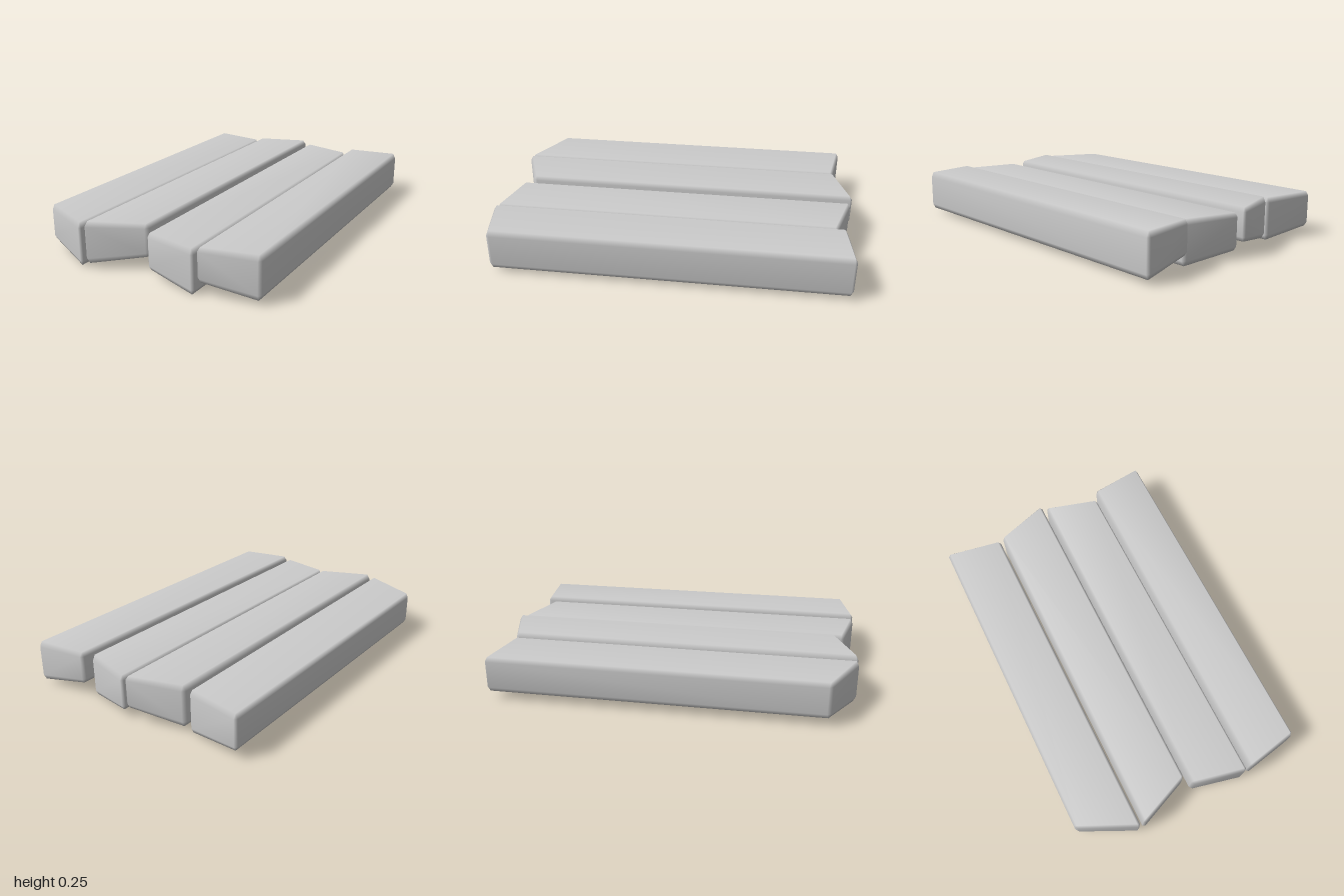
import * as THREE from 'three';
import { ConvexGeometry } from 'three/addons/geometries/ConvexGeometry.js';
import { mergeVertices } from 'three/addons/utils/BufferGeometryUtils.js';

const lerp = THREE.MathUtils.lerp;
const BEVEL = [0.015, 0.026, 0.015]; // bevel size along x, y, z

// Each pair holds the values at the plank's -x and +x sides.
const PLANKS = [
  { x: [-0.65, -0.33], top: 0.24, bottom: [0.047, 0.005], front: [0.85, 0.998], back: [-0.955, -0.902] },
  { x: [-0.31, -0.007], top: 0.253, bottom: [0.025, 0.08], front: [0.995, 0.87], back: [-0.908, -1.003] },
  { x: [0.02, 0.325], top: 0.234, bottom: [0.043, -0.002], front: [0.922, 0.987], back: [-0.99, -0.903] },
  { x: [0.343, 0.646], top: 0.25, bottom: [0.076, 0.022], front: [0.986, 0.925], back: [-0.95, -0.986] },
];

// Bevelled block with slanted underside and skew-cut ends
function plankGeometry({ x, top, bottom, front, back }) {
  const size = [x[1] - x[0], top - (bottom[0] + bottom[1]) / 2, 1.9];
  const points = [];
  for (let corner = 0; corner < 8; corner++) {
    // three points per corner, one lying on each adjoining face
    for (let face = 0; face < 3; face++) {
      const [u, v, w] = [0, 1, 2].map((axis) => {
        const inset = axis === face ? 0 : BEVEL[axis] / size[axis];
        return (corner >> axis) & 1 ? 1 - inset : inset;
      });
      points.push(new THREE.Vector3(
        lerp(x[0], x[1], u),
        lerp(lerp(bottom[0], bottom[1], u), top, v),
        lerp(lerp(back[0], back[1], u), lerp(front[0], front[1], u), w),
      ));
    }
  }
  // weld for smooth shading over the bevels
  const hull = new ConvexGeometry(points);
  hull.deleteAttribute('normal');
  const geometry = mergeVertices(hull, 1e-5);
  geometry.computeVertexNormals();
  return geometry;
}

export function createModel() {
  const group = new THREE.Group();
  group.name = 'planks';
  const material = new THREE.MeshStandardMaterial({ color: 0xcccccc });
  PLANKS.forEach((plank, i) => {
    const mesh = new THREE.Mesh(plankGeometry(plank), material);
    mesh.name = `plank${i + 1}`;
    group.add(mesh);
  });
  return group;
}
